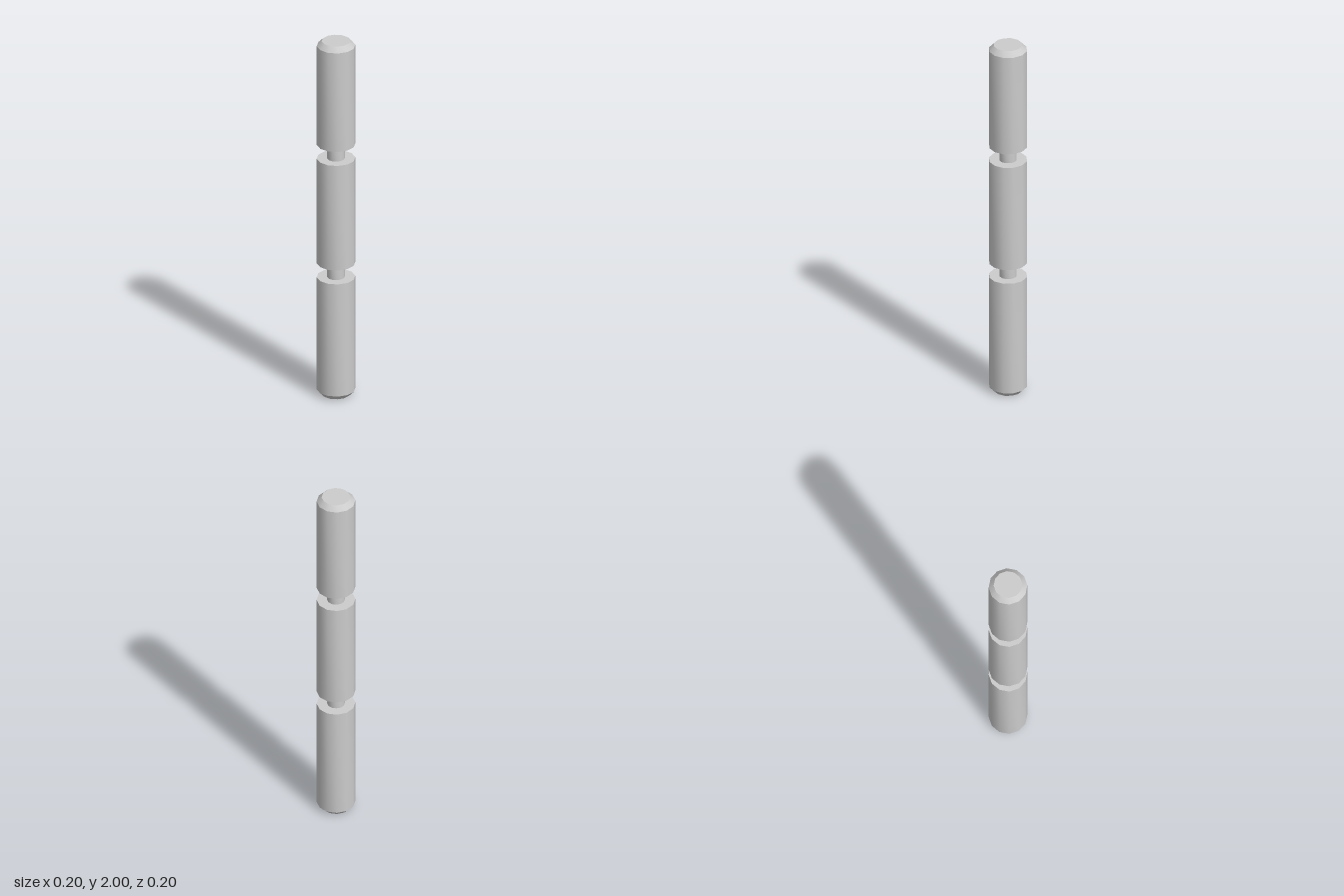
import * as THREE from 'three';
import { toCreasedNormals } from 'three/addons/utils/BufferGeometryUtils.js';

const SIDES = 12;
const R = 0.1; // rod radius
const TIP = 0.074; // radius of the chamfered ends
const NECK = 0.046; // radius inside the grooves
const CHAMFER = 0.027;

const material = new THREE.MeshStandardMaterial({ color: 0xcccccc });

// Turned part from [radius, height] pairs running bottom to top
function turned(name, profile) {
  const points = profile.map(([r, y]) => new THREE.Vector2(r, y));
  const geometry = toCreasedNormals(new THREE.LatheGeometry(points, SIDES), 0.6);
  const mesh = new THREE.Mesh(geometry, material);
  mesh.name = name;
  return mesh;
}

export function createModel() {
  const rod = new THREE.Group();
  rod.name = 'groovedRod';

  // Three thick segments; the outer two have a chamfered end
  rod.add(turned('bottomSegment', [[0, 0], [TIP, 0], [R, CHAMFER], [R, 0.663], [0, 0.663]]));
  rod.add(turned('middleSegment', [[0, 0.742], [R, 0.742], [R, 1.335], [0, 1.335]]));
  rod.add(turned('topSegment', [[0, 1.414], [R, 1.414], [R, 2 - CHAMFER], [TIP, 2], [0, 2]]));

  // Narrow necks in the two grooves
  rod.add(turned('lowerNeck', [[NECK, 0.663], [NECK, 0.742]]));
  rod.add(turned('upperNeck', [[NECK, 1.335], [NECK, 1.414]]));

  // Slight twist of the facets about the axis
  rod.rotation.y = -0.113;

  const model = new THREE.Group();
  model.name = 'model';
  model.add(rod);
  return model;
}
